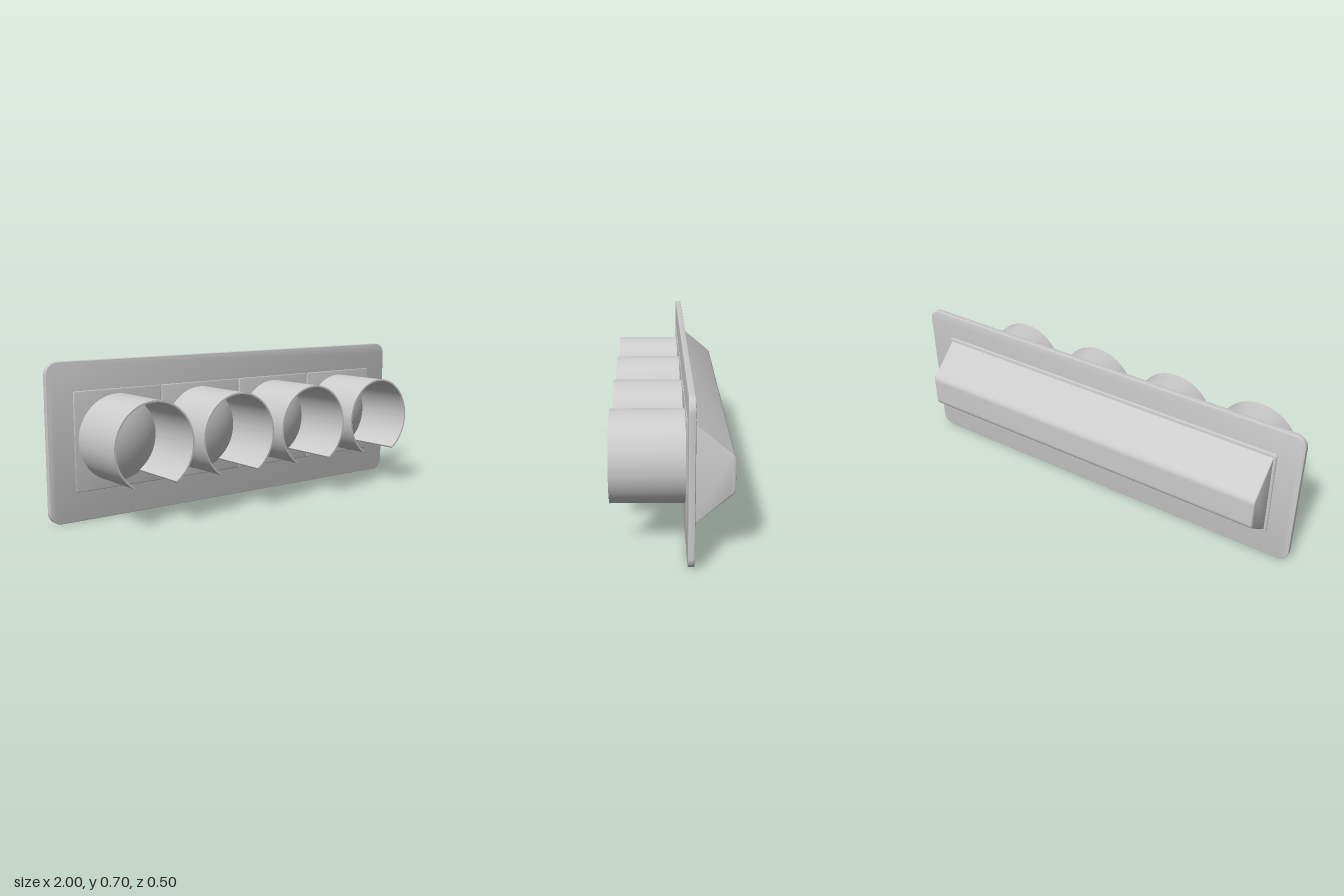
import * as THREE from 'three';
import { toCreasedNormals } from 'three/addons/utils/BufferGeometryUtils.js';

const grey = new THREE.MeshStandardMaterial({ color: 0xcccccc });
const CY = 0.348; // height of the shared centre line

function roundedRect(w, h, r) {
  const s = new THREE.Shape();
  const x = w / 2 - r, y = h / 2 - r;
  s.absarc(x, y, r, 0, Math.PI / 2);
  s.absarc(-x, y, r, Math.PI / 2, Math.PI);
  s.absarc(-x, -y, r, Math.PI, Math.PI * 1.5);
  s.absarc(x, -y, r, Math.PI * 1.5, Math.PI * 2);
  s.closePath();
  return s;
}

// Extrusion centred on the origin; the bevel stays within the given outline and depth
function slab(shape, depth, bevel, segments = 3) {
  const g = new THREE.ExtrudeGeometry(shape, {
    depth: depth - 2 * bevel, bevelEnabled: bevel > 0, bevelThickness: bevel,
    bevelSize: bevel, bevelOffset: -bevel, bevelSegments: segments, curveSegments: 48,
  });
  g.translate(0, 0, bevel - depth / 2);
  return toCreasedNormals(g, 0.6);
}

function part(name, geometry, x, y, z) {
  const m = new THREE.Mesh(geometry, grey);
  m.name = name;
  m.position.set(x, y, z);
  return m;
}

// Trapezoid cross-section (x = depth behind the plate) with rounded rear corners
function hoodProfile() {
  const s = new THREE.Shape();
  s.moveTo(0.075, -0.22);
  s.lineTo(0.235, -0.086);
  s.quadraticCurveTo(0.25, -0.074, 0.25, -0.055);
  s.lineTo(0.25, 0.055);
  s.quadraticCurveTo(0.25, 0.074, 0.235, 0.086);
  s.lineTo(0.075, 0.22);
  s.closePath();
  return s;
}

// Ring with an open gap at the bottom
function visorProfile(outer, inner, halfGap) {
  const a = -Math.PI / 2 + halfGap, b = Math.PI * 1.5 - halfGap;
  const s = new THREE.Shape();
  s.absarc(0, 0, outer, a, b, false);
  s.absarc(0, 0, inner, b, a, true);
  s.closePath();
  return s;
}

export function createModel() {
  const model = new THREE.Group();
  model.name = 'lampCluster';

  // Mounting plate
  model.add(part('backPlate', slab(roundedRect(2, 0.696, 0.055), 0.026, 0.002), 0, CY, -0.0725));

  // Rear housing with a soft foot where it meets the plate
  const hood = part('rearHousing', slab(hoodProfile(), 1.746, 0.006), 0, CY, 0);
  hood.rotation.y = Math.PI / 2;
  model.add(hood);
  model.add(part('housingFoot', slab(roundedRect(1.774, 0.45, 0.015), 0.024, 0.01), 0, CY, -0.081));

  // Four lamps, each with a panel, a domed lens and an open-bottomed visor
  const R = 0.195, dome = 0.06;
  const sphereR = (R * R + dome * dome) / (2 * dome);
  const lensGeo = new THREE.SphereGeometry(sphereR, 48, 12, 0, Math.PI * 2, 0, Math.asin(R / sphereR));
  lensGeo.translate(0, dome - sphereR, 0);
  lensGeo.rotateX(Math.PI / 2);
  const visorGeo = slab(visorProfile(R, R - 0.008, 0.56), 0.315, 0);
  const panelGeo = slab(roundedRect(0.437, 0.44, 0.006), 0.016, 0.005);

  for (let i = 0; i < 4; i++) {
    const lamp = new THREE.Group();
    lamp.name = 'lamp' + (i + 1);
    const x = -0.665 + i * 0.44;
    lamp.add(part('panel', panelGeo, -0.66 + i * 0.44, CY, -0.064));
    lamp.add(part('lens', lensGeo, x, CY + 0.002, -0.056));
    lamp.add(part('visor', visorGeo, x, CY + 0.002, 0.0925));
    model.add(lamp);
  }
  return model;
}
